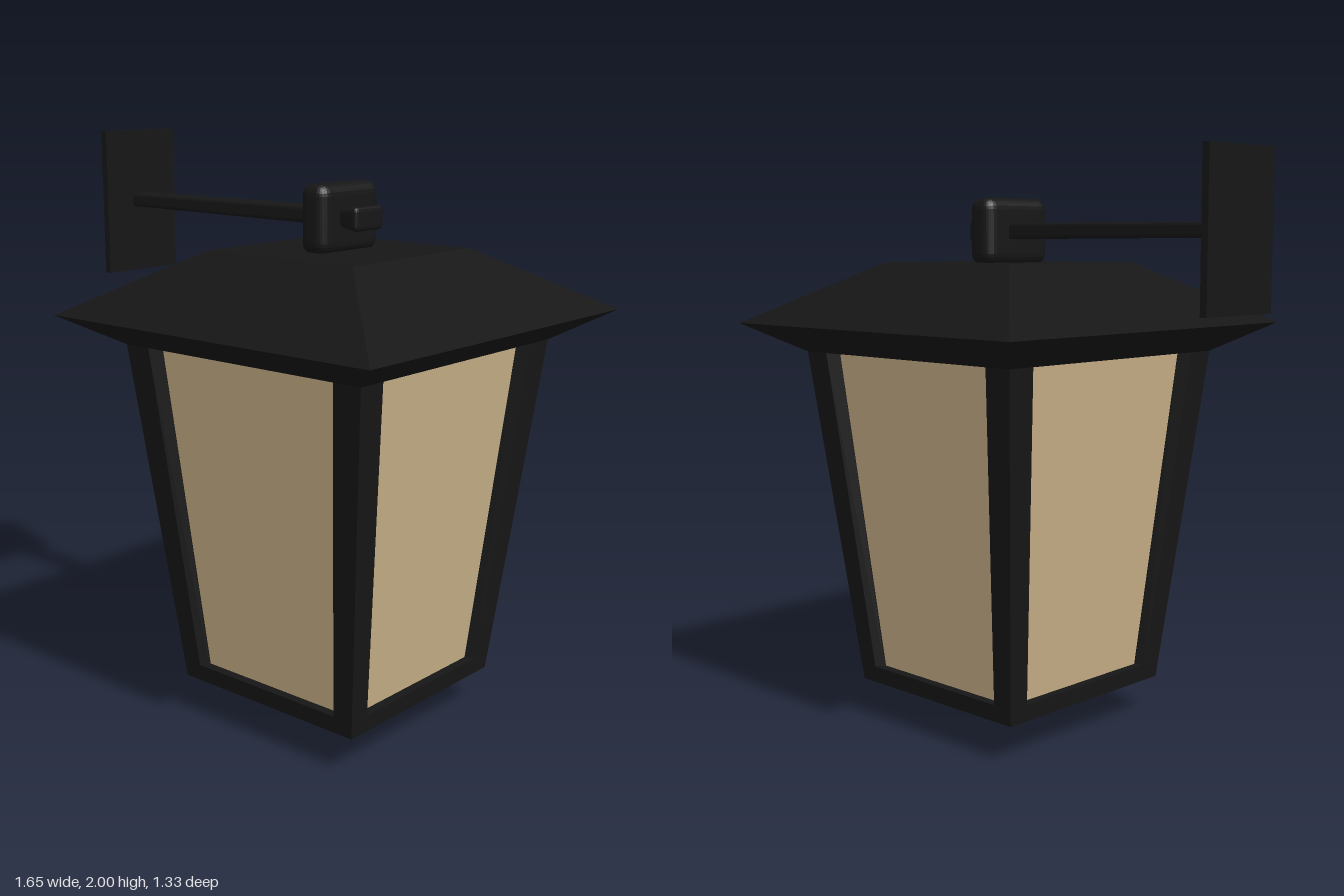
import * as THREE from 'three';
import { RoundedBoxGeometry } from 'three/addons/geometries/RoundedBoxGeometry.js';

const metal = new THREE.MeshStandardMaterial({ color: 0x161616, flatShading: true });
const glass = new THREE.MeshStandardMaterial({ color: 0xc8b088, flatShading: true });

function add(parent, name, geometry, material = metal, x = 0, y = 0, z = 0) {
  const mesh = new THREE.Mesh(geometry, material);
  mesh.name = name;
  mesh.position.set(x, y, z);
  parent.add(mesh);
  return mesh;
}

// Square solid of revolution from [half width, height] pairs, bottom to top
function squareLathe(profile) {
  const points = profile.map(([half, y]) => new THREE.Vector2(half * Math.SQRT2, y));
  return new THREE.LatheGeometry(points, 4, Math.PI / 4);
}

// Tapering, outward-leaning corner post with bevelled edges beside the glass
function postGeometry() {
  const shape = new THREE.Shape(
    [[0, 0], [0.7, 0], [1, 0.2], [1, 1], [0.2, 1], [0, 0.7]].map(([x, y]) => new THREE.Vector2(x, y))
  );
  const geometry = new THREE.ExtrudeGeometry(shape, { depth: 1, bevelEnabled: false });
  const p = geometry.attributes.position;
  for (let i = 0; i < p.count; i++) {
    const t = p.getZ(i);
    const inner = THREE.MathUtils.lerp(0.281, 0.37, t);
    const outer = THREE.MathUtils.lerp(0.375, 0.5, t);
    const place = (u) => THREE.MathUtils.lerp(inner, outer, u);
    p.setXYZ(i, place(p.getY(i)), 0.14 + 1.19 * t, place(p.getX(i)));
  }
  geometry.computeVertexNormals();
  return geometry;
}

// Chamfered bar along x whose section grows from its -x end to its +x end
function taperedBar(length, height, depth, radius, startY, startZ) {
  const geometry = new RoundedBoxGeometry(length, height, depth, 2, radius);
  const p = geometry.attributes.position;
  for (let i = 0; i < p.count; i++) {
    const t = p.getX(i) / length + 0.5;
    p.setY(i, p.getY(i) * THREE.MathUtils.lerp(startY, 1, t));
    p.setZ(i, p.getZ(i) * THREE.MathUtils.lerp(startZ, 1, t));
  }
  geometry.computeVertexNormals();
  return geometry;
}

export function createModel() {
  const model = new THREE.Group();
  model.name = 'wallLantern';

  // Lantern head, hung off-centre from the wall plate
  const lantern = new THREE.Group();
  lantern.name = 'lantern';
  lantern.position.x = 0.155;
  model.add(lantern);

  add(lantern, 'roof', squareLathe([[0, 1.33], [0.5, 1.33], [0.667, 1.43], [0.305, 1.64], [0, 1.64]]));
  add(lantern, 'glassPanes', squareLathe([[0.345, 0.17], [0.46, 1.33]]), glass);
  add(lantern, 'base', squareLathe([[0, 0.005], [0.375, 0.14], [0.381, 0.2], [0, 0.2]]));

  const post = postGeometry();
  for (let i = 0; i < 4; i++) {
    add(lantern, 'cornerPost', post).rotation.y = i * Math.PI / 2;
  }

  // Hanging loop on the roof, with the end of the arm showing through it
  add(lantern, 'hangingLoop', new RoundedBoxGeometry(0.105, 0.23, 0.3, 3, 0.04), metal, 0, 1.745, 0);
  add(model, 'armEndCap', taperedBar(0.09, 0.085, 0.15, 0.018, 0.6, 0.8), metal, 0.237, 1.748, 0);

  // Wall bracket
  add(model, 'arm', taperedBar(0.94, 0.056, 0.1, 0.012, 0.84, 0.96), metal, -0.35, 1.748, -0.003);
  add(model, 'wallPlate', new THREE.BoxGeometry(0.025, 0.51, 0.33), metal, -0.817, 1.745, 0);

  return model;
}
